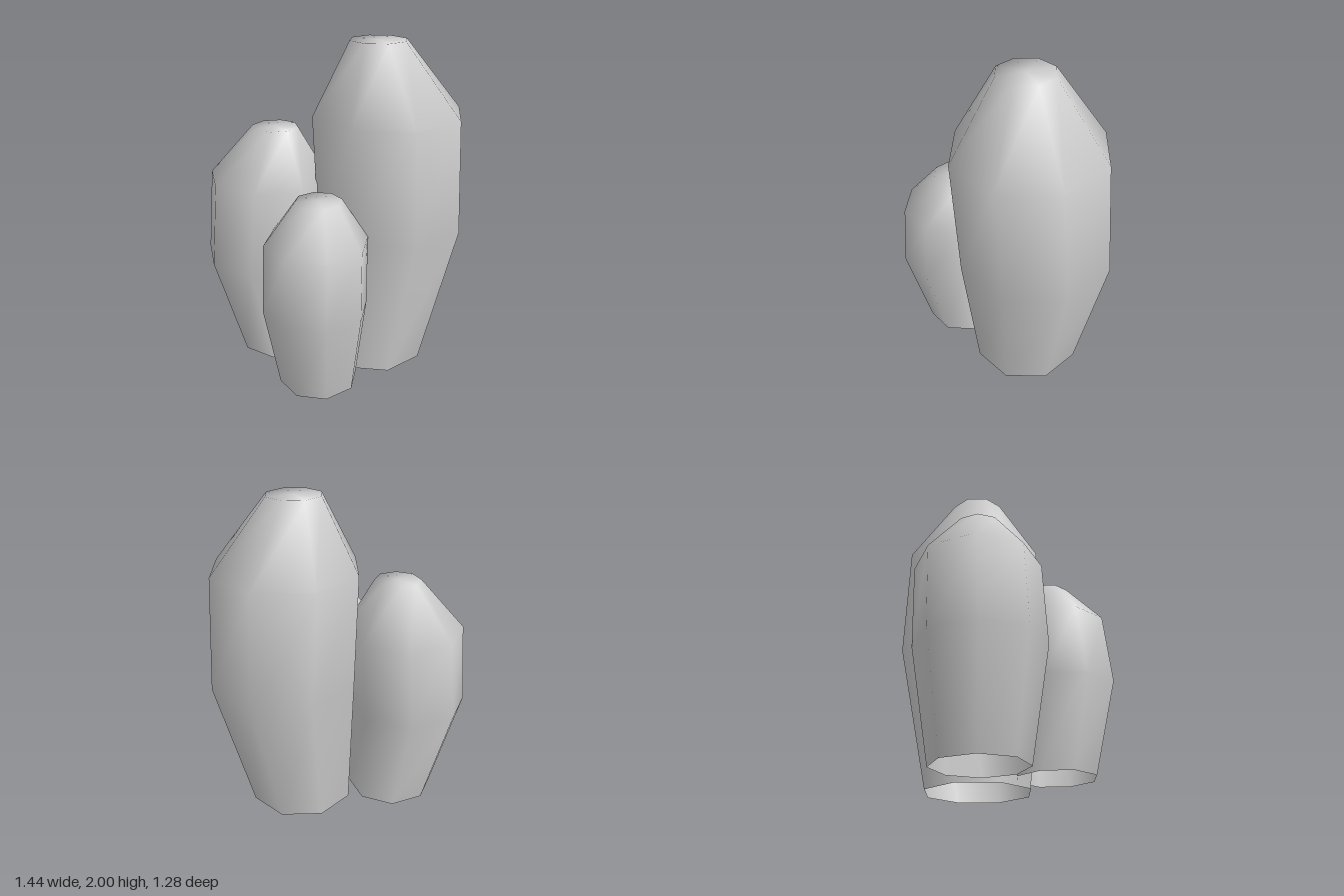
import * as THREE from 'three';

const SIDES = 8;

// Smooth eight-sided stalk from rings [y, centreX, centreZ, radius], open below, capped on top
function stalkGeometry(rings, turnDegrees) {
  const positions = [];
  const index = [];
  const turn = THREE.MathUtils.degToRad(turnDegrees);
  for (const [y, cx, cz, r] of rings) {
    for (let i = 0; i < SIDES; i++) {
      const a = turn + (i / SIDES) * Math.PI * 2;
      positions.push(cx + r * Math.cos(a), y, cz + r * Math.sin(a));
    }
  }
  for (let j = 0; j < rings.length - 1; j++) {
    for (let i = 0; i < SIDES; i++) {
      const a = j * SIDES + i;
      const b = j * SIDES + ((i + 1) % SIDES);
      index.push(a, a + SIDES, b, b, a + SIDES, b + SIDES);
    }
  }
  // Flat tip
  const [y, cx, cz] = rings[rings.length - 1];
  const tip = positions.length / 3;
  const last = tip - SIDES;
  positions.push(cx, y, cz);
  for (let i = 0; i < SIDES; i++) index.push(last + i, tip, last + ((i + 1) % SIDES));

  const geometry = new THREE.BufferGeometry();
  geometry.setAttribute('position', new THREE.Float32BufferAttribute(positions, 3));
  geometry.setIndex(index);
  geometry.computeVertexNormals();
  return geometry;
}

export function createModel() {
  const group = new THREE.Group();
  group.name = 'stalkCluster';
  const material = new THREE.MeshStandardMaterial({ color: 0xcccccc, side: THREE.DoubleSide });

  // Each stalk swells and leans outward in the middle, then tapers back over its base
  const stalks = [
    {
      name: 'tallStalk', turn: 20,
      rings: [[0, 0.18, 0.18, 0.335], [0.89, 0.285, 0.2, 0.46], [1.58, 0.24, 0.205, 0.455], [2, 0.18, 0.18, 0.17]],
    },
    {
      name: 'middleStalk', turn: -1,
      rings: [[0.02, -0.275, -0.21, 0.275], [0.66, -0.345, -0.265, 0.375], [1.17, -0.31, -0.25, 0.37], [1.48, -0.28, -0.215, 0.14]],
    },
    {
      name: 'shortStalk', turn: 22.5,
      rings: [[0.02, -0.333, 0.31, 0.235], [0.55, -0.38, 0.357, 0.305], [0.95, -0.357, 0.335, 0.3], [1.18, -0.323, 0.31, 0.135]],
    },
  ];
  for (const { name, rings, turn } of stalks) {
    const mesh = new THREE.Mesh(stalkGeometry(rings, turn), material);
    mesh.name = name;
    group.add(mesh);
  }
  return group;
}
